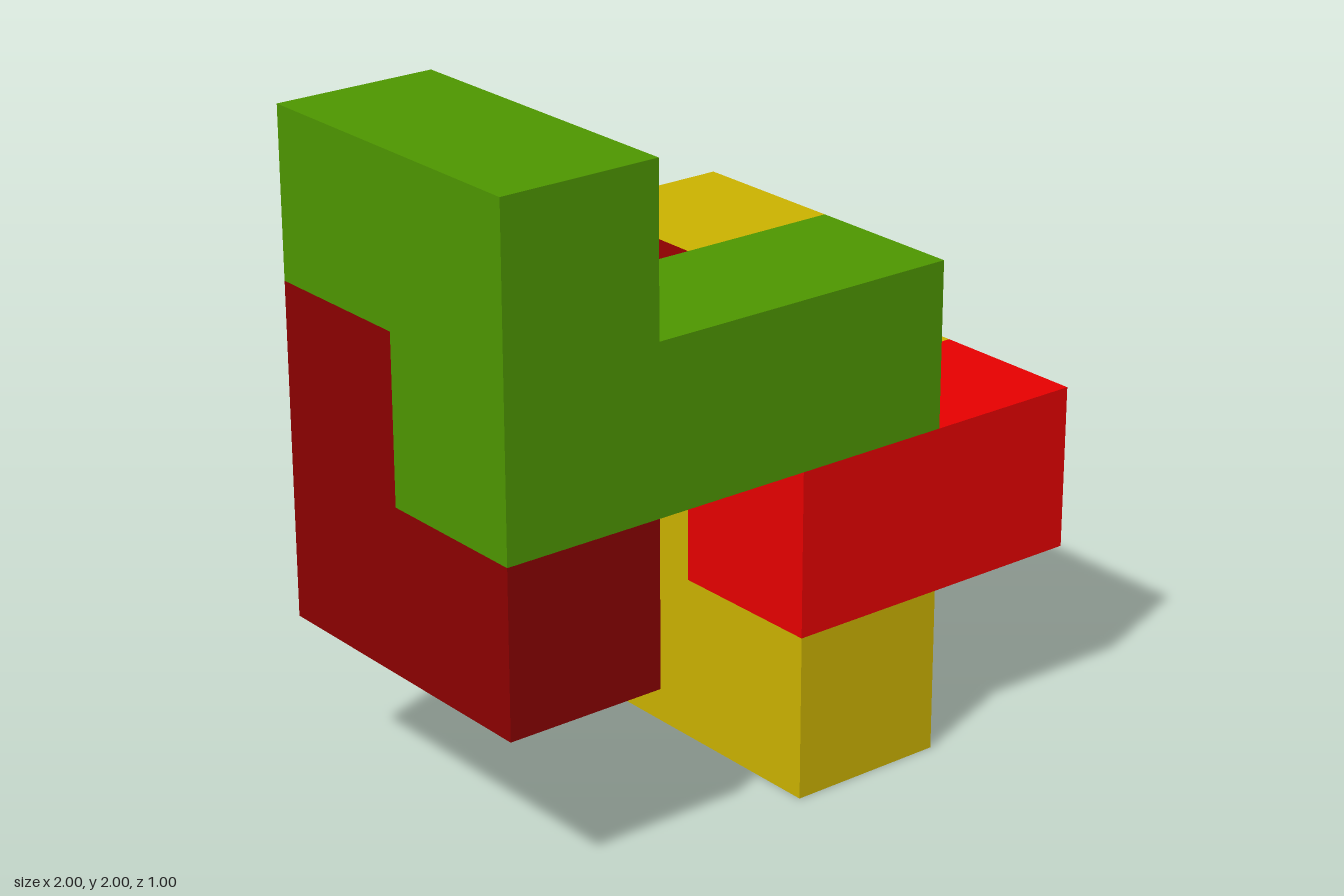
import * as THREE from 'three';
import { mergeGeometries } from 'three/addons/utils/BufferGeometryUtils.js';

const CELL = 0.5;

// Unit directions of the six cube faces, with the turn that aims a plane that way
const FACES = [
  [[1, 0, 0], [0, Math.PI / 2]],
  [[-1, 0, 0], [0, -Math.PI / 2]],
  [[0, 1, 0], [-Math.PI / 2, 0]],
  [[0, -1, 0], [Math.PI / 2, 0]],
  [[0, 0, 1], [0, 0]],
  [[0, 0, -1], [0, Math.PI]],
];

// Each piece is a list of grid cells: [column from -x, row from ground, layer from back]
const PIECES = [
  ['greenPiece', 'green', 0x4e9600, [[0, 3, 0], [0, 3, 1], [0, 2, 1], [1, 2, 1], [2, 2, 1]]],
  ['darkRedPiece', 'dark red', 0x8b0000, [[0, 1, 1], [0, 1, 0], [0, 2, 0], [1, 2, 0]]],
  ['redPiece', 'red', 0xe60000, [[2, 1, 1], [3, 1, 1]]],
  ['yellowPiece', 'yellow', 0xcbb200, [[2, 0, 1], [2, 0, 0], [2, 1, 0], [2, 2, 0], [3, 1, 0]]],
];

// Closed skin around a set of cells, without walls between neighbours
function polycube(cells) {
  const filled = new Set(cells.map(String));
  const quads = [];
  for (const cell of cells) {
    const centre = [(cell[0] - 1.5) * CELL, (cell[1] + 0.5) * CELL, (cell[2] - 0.5) * CELL];
    for (const [dir, [rx, ry]] of FACES) {
      if (filled.has(String(cell.map((c, i) => c + dir[i])))) continue;
      const quad = new THREE.PlaneGeometry(CELL, CELL).rotateX(rx).rotateY(ry);
      quads.push(quad.translate(...centre.map((c, i) => c + dir[i] * CELL / 2)));
    }
  }
  return mergeGeometries(quads);
}

export function createModel() {
  const model = new THREE.Group();
  model.name = 'interlockingBlocks';
  for (const [name, colourName, color, cells] of PIECES) {
    const material = new THREE.MeshStandardMaterial({ color });
    material.name = colourName;
    const mesh = new THREE.Mesh(polycube(cells), material);
    mesh.name = name;
    model.add(mesh);
  }
  return model;
}
